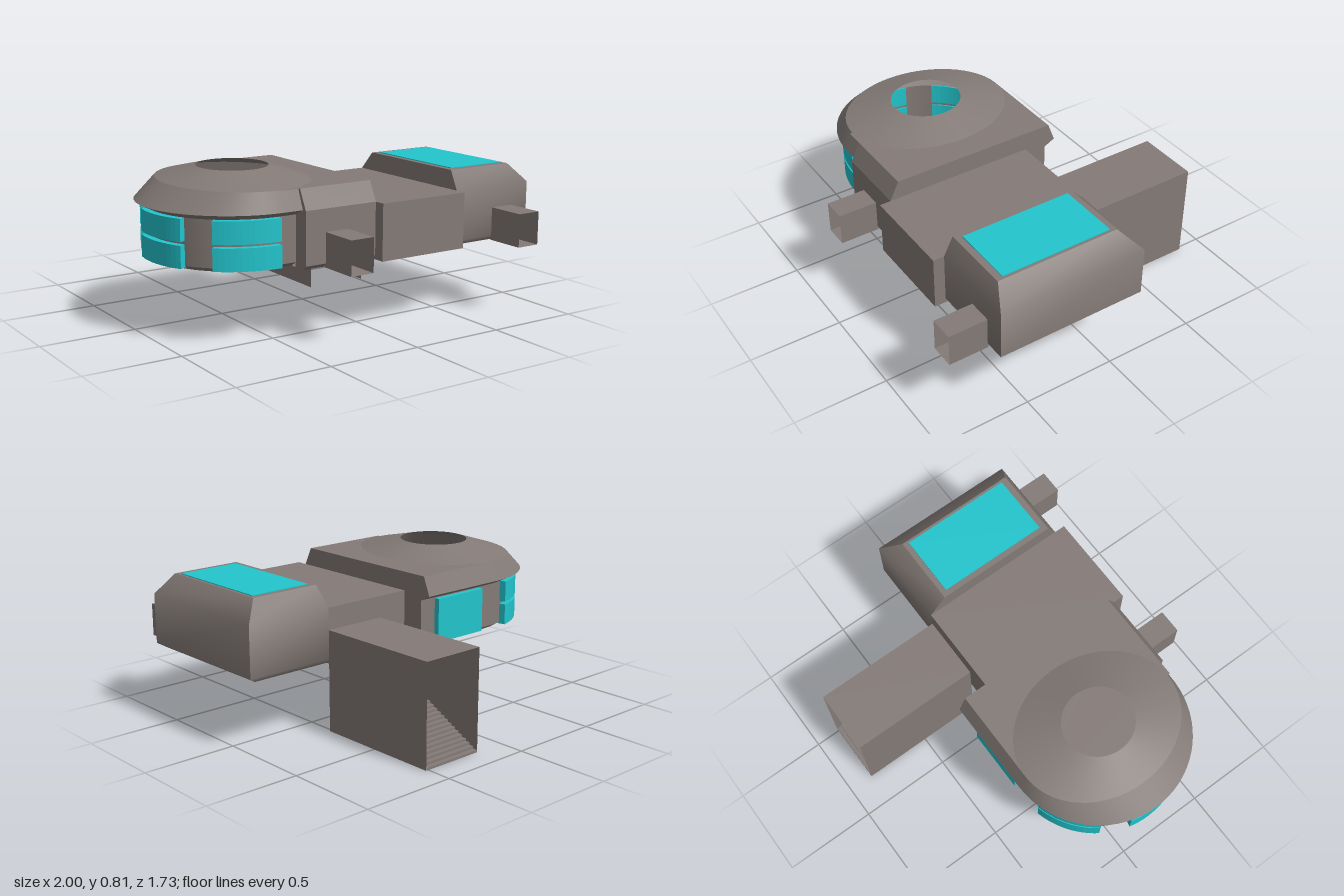
import * as THREE from 'three';
import { toCreasedNormals } from 'three/addons/utils/BufferGeometryUtils.js';

const hull = new THREE.MeshStandardMaterial({ color: 0x847b77, side: THREE.DoubleSide });
hull.name = 'hull grey';
const glass = new THREE.MeshStandardMaterial({ color: 0x22c5cd, side: THREE.DoubleSide });
glass.name = 'cyan glass';

// centre of the round room
const CX = -0.51, CZ = 0.14;
const FLOOR = 0.36, EAVE = 0.65, ROOF = 0.75;

export function createModel() {
  const model = new THREE.Group();

  const add = (name, geometry, material = hull) => {
    const mesh = new THREE.Mesh(geometry, material);
    mesh.name = name;
    model.add(mesh);
    return mesh;
  };

  // box given by its minimum and maximum corners
  const box = (name, a, b, material) => {
    const g = new THREE.BoxGeometry(b[0] - a[0], b[1] - a[1], b[2] - a[2]);
    g.translate((a[0] + b[0]) / 2, (a[1] + b[1]) / 2, (a[2] + b[2]) / 2);
    return add(name, g, material);
  };

  // skin through rows of points, optionally closing each row
  const loft = (name, rows, closed = false) => {
    const n = rows[0].length, index = [];
    for (let r = 0; r < rows.length - 1; r++) {
      for (let i = 0; i < (closed ? n : n - 1); i++) {
        const j = (i + 1) % n, a = r * n + i, b = r * n + j;
        index.push(a, a + n, b, b, a + n, b + n);
      }
    }
    const g = new THREE.BufferGeometry();
    g.setAttribute('position', new THREE.Float32BufferAttribute(rows.flat(2), 3));
    g.setIndex(index);
    return add(name, toCreasedNormals(g, 0.95));
  };

  const shapeOf = (pts) => new THREE.Shape(pts.map(([u, v]) => new THREE.Vector2(u, v)));
  // horizontal plate from [x, z] points
  const slab = (name, pts, y) =>
    add(name, new THREE.ShapeGeometry(shapeOf(pts)).rotateX(Math.PI / 2).translate(0, y, 0));
  // wall facing sideways from [z, y] points
  const sideWall = (name, pts, x) =>
    add(name, new THREE.ShapeGeometry(shapeOf(pts)).rotateY(-Math.PI / 2).translate(x, 0, 0));

  // arc point: angle 0 is the back, PI the front
  const polar = (t, rx, rz = rx) => [CX - rx * Math.sin(t), CZ - rz * Math.cos(t)];
  const arc = (t0, t1, rx, rz, n = 36) =>
    Array.from({ length: n + 1 }, (_, i) => polar(t0 + (t1 - t0) * i / n, rx, rz));
  // half circle that runs on straight into the wing
  const outline = (rx, rz = rx) =>
    [[0, CZ - rz], ...arc(0, Math.PI, rx, rz), [-0.41, CZ + rz]];
  const lift = (pts, y) => pts.map(([x, z]) => [x, y, z]);

  // round room: wall, floor and overhanging roof
  loft('roundRoomWall', [
    lift(outline(0.39), FLOOR), lift(outline(0.43), 0.385), lift(outline(0.43), 0.62),
  ]);
  slab('roundRoomFloor', [...outline(0.39), [-0.41, 0.635], [0, 0.635]], FLOOR);
  loft('roofEave', [lift(outline(0.43), 0.62), lift(outline(0.49), EAVE)]);
  loft('roofSlope', [lift(outline(0.49), EAVE), lift(outline(0.37, 0.45), ROOF)]);
  loft('roofCone', [
    lift(arc(0, Math.PI * 2, 0.37, 0.45, 64), ROOF),
    lift(arc(0, Math.PI * 2, 0.18, 0.19, 64), 0.81),
  ]);
  slab('wingRoof', [
    ...arc(Math.PI, Math.PI * 2, 0.37, 0.45), [0, CZ - 0.45], [0, 0.605], [CX, 0.605],
  ], ROOF);

  // curved windows in two panes each, and one flat window at the back
  for (const start of [14, 76, 138]) {
    const t0 = THREE.MathUtils.degToRad(start), t1 = THREE.MathUtils.degToRad(start + 42);
    const sector = shapeOf([...arc(t0, t1, 0.465, 0.465, 12), ...arc(t1, t0, 0.422, 0.422, 12)]);
    for (const top of [0.49, 0.62]) {
      const g = new THREE.ExtrudeGeometry(sector, { depth: 0.113, bevelEnabled: false });
      add('curvedWindow', g.rotateX(Math.PI / 2).translate(0, top, 0), glass);
    }
  }
  box('backWindow', [-0.43, 0.38, -0.32], [-0.1, 0.615, -0.28], glass);

  // wing front with an opening for its tube
  const front = shapeOf([[-0.41, 0.38], [0, 0.38], [0, EAVE], [-0.41, EAVE]]);
  front.holes.push(new THREE.Path(
    [[-0.295, 0.385], [-0.295, 0.535], [-0.165, 0.535], [-0.165, 0.385]]
      .map(([x, y]) => new THREE.Vector2(x, y))));
  add('wingFront', new THREE.ShapeGeometry(front).translate(0, 0, 0.655));
  const strip = (name, y0, z0, y1, z1) =>
    loft(name, [[[-0.41, y0, z0], [0, y0, z0]], [[-0.41, y1, z1], [0, y1, z1]]]);
  strip('wingFrontSlope', EAVE, 0.655, ROOF, 0.605);
  strip('wingSill', FLOOR, 0.635, 0.38, 0.655);
  const frontEdge = [[0.635, FLOOR], [0.655, 0.38], [0.655, EAVE], [0.605, ROOF]];
  sideWall('wingCheek', [[0.565, FLOOR], ...frontEdge, [0.565, ROOF]], -0.41);
  sideWall('wingEnd', [
    ...frontEdge, [-0.31, ROOF], [-0.35, EAVE], [-0.29, 0.62], [-0.29, 0.385], [-0.25, FLOOR],
  ], 0);

  // central corridor
  box('corridor', [0, FLOOR, -0.165], [0.515, EAVE, 0.715]);

  // side module with bevelled edges and a skylight
  const ring = (y, x1, z0, z1) => [[0.515, y, z0], [x1, y, z0], [x1, y, z1], [0.515, y, z1]];
  loft('sideModule', [
    ring(FLOOR, 0.96, -0.145, 0.635), ring(0.385, 1, -0.165, 0.655),
    ring(EAVE, 1, -0.165, 0.655), ring(ROOF, 0.9, -0.07, 0.605),
  ], true);
  slab('sideModuleRoof', [[0.515, -0.07], [0.9, -0.07], [0.9, 0.605], [0.515, 0.605]], ROOF);
  slab('sideModuleFloor', [[0.515, -0.145], [0.96, -0.145], [0.96, 0.635], [0.515, 0.635]], FLOOR);
  box('skylight', [0.545, ROOF - 0.002, -0.04], [0.885, ROOF + 0.004, 0.57], glass);

  // open square tubes at the front
  for (const [x0, x1] of [[-0.295, -0.165], [0.76, 0.89]]) {
    const square = (z) => [[x0, FLOOR, z], [x1, FLOOR, z], [x1, 0.535, z], [x0, 0.535, z]];
    loft('frontTube', [square(0.65), square(0.865)], true);
  }

  // stair housing, open below and at both ends
  const arch = (z) => [[0.17, 0, z], [0.17, 0.535, z], [0.515, 0.535, z], [0.515, 0, z]];
  loft('stairHousing', [arch(-0.865), arch(-0.165)]);

  // stairs climbing towards the corridor
  const steps = 28, rows = [];
  for (let i = 0; i <= steps; i++) {
    const z = -0.865 + 0.7 * i / steps;
    for (const k of [i, i + 1]) {
      const y = FLOOR * Math.min(k, steps) / steps;
      if (i < steps || k === i) rows.push([[0.172, y, z], [0.513, y, z]]);
    }
  }
  loft('stairs', rows);

  return model;
}
